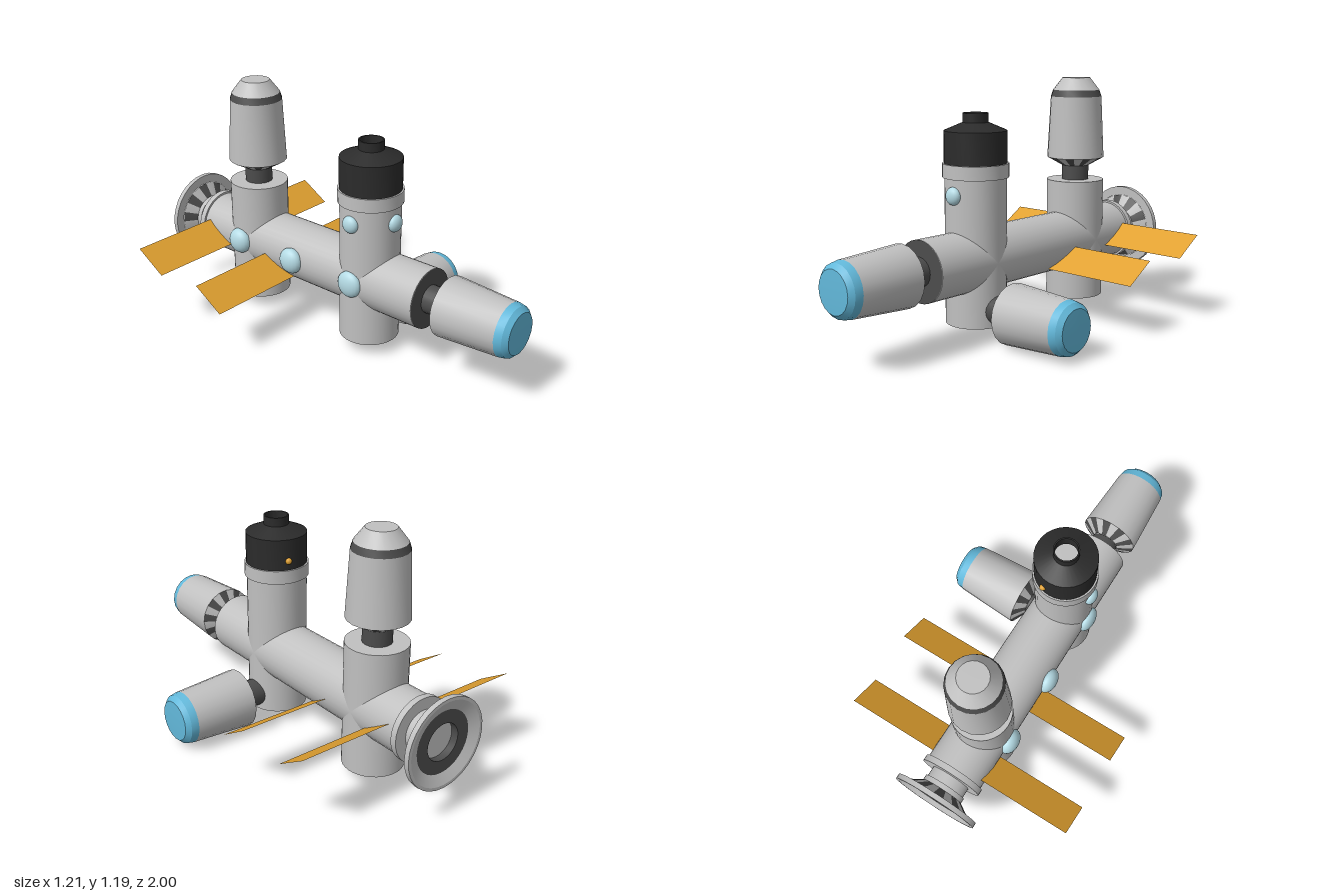
import * as THREE from 'three';
import { toCreasedNormals } from 'three/addons/utils/BufferGeometryUtils.js';

const mat = (name, color, side = THREE.FrontSide) => {
  const m = new THREE.MeshStandardMaterial({ color, side });
  m.name = name;
  return m;
};

export function createModel() {
  const hull = mat('hull grey', 0xc0c0c0);
  const dark = mat('dark grey', 0x4c4c4c);
  const black = mat('black', 0x2b2b2b, THREE.DoubleSide);
  const blue = mat('blue', 0x62b8da);
  const glass = mat('pale glass', 0xb4dae4);
  const gold = mat('panel gold', 0xe0a030, THREE.DoubleSide);

  const model = new THREE.Group();
  model.name = 'spaceStation';
  const X = -0.005, AXIS_Y = 0.37, FRONT_Z = 0.17, BACK_Z = -0.56, R = 0.145;

  const add = (parent, name, geometry, material, x = 0, y = 0, z = 0) => {
    const mesh = new THREE.Mesh(geometry, material);
    mesh.name = name;
    mesh.position.set(x, y, z);
    parent.add(mesh);
    return mesh;
  };
  const group = (name, x, y, z) => {
    const g = new THREE.Group();
    g.name = name;
    g.position.set(x, y, z);
    model.add(g);
    return g;
  };
  // Turned part: [radius, height] pairs, bottom to top
  const lathe = (points, sides = 32) => toCreasedNormals(
    new THREE.LatheGeometry(points.map(([r, y]) => new THREE.Vector2(r, y)), sides), 0.45);
  // Flared ring with alternating light and dark panels
  const checkedCone = (r0, r1, y0, y1, sides = 20) => {
    const g = new THREE.CylinderGeometry(r1, r0, y1 - y0, sides, 1, true);
    g.translate(0, (y0 + y1) / 2, 0);
    g.clearGroups();
    for (let i = 0; i < sides; i++) g.addGroup(i * 6, 6, i % 2);
    return g;
  };

  // Main hull along z
  const main = group('mainHull', X, AXIS_Y, 0);
  main.rotation.x = Math.PI / 2;
  add(main, 'hullTube', lathe([[0, -0.84], [R, -0.84], [R, 0.52], [0, 0.52]]), hull);
  const endCap = add(main, 'frontEndPlate', new THREE.CircleGeometry(R, 32), dark, 0, 0.523, 0);
  endCap.rotation.x = -Math.PI / 2;

  // Docking dish at the back; local y points backward
  const dish = group('rearDish', X, AXIS_Y, 0);
  dish.rotation.x = -Math.PI / 2;
  add(dish, 'dishNeck', lathe([
    [R, 0.83], [0.155, 0.83], [0.155, 0.86], [0.098, 0.86], [0.098, 0.91], [0.106, 0.91], [0.106, 0.935],
  ]), hull);
  add(dish, 'dishFlare', checkedCone(0.106, 0.17, 0.935, 0.975), [hull, dark]);
  add(dish, 'dishRim', lathe([[0.17, 0.975], [0.215, 0.975], [0.215, 1], [0.2, 1]]), hull);
  add(dish, 'dishInside', lathe([[0.2, 1], [0.15, 0.98]]), hull);
  add(dish, 'dishRing', lathe([[0.15, 0.98], [0.088, 0.98], [0.088, 0.945]]), dark);
  add(dish, 'dishHub', lathe([[0.088, 0.945], [0, 0.945]]), hull);

  // Front tower with a hollow black cap
  const frontTower = group('frontTower', X, 0, FRONT_Z);
  add(frontTower, 'towerTube', lathe([
    [0, 0.07], [R, 0.07], [R, 0.76], [0.155, 0.76], [0.155, 0.825], [0, 0.825],
  ]), hull);
  add(frontTower, 'towerCap', lathe([
    [0.147, 0.825], [0.147, 0.975], [0.06, 1.012], [0.06, 1.055], [0.053, 1.055], [0.053, 1.0],
  ]), black);
  add(frontTower, 'capLamp', new THREE.SphereGeometry(0.016, 10, 8), gold, 0.035, 0.87, -0.143);

  // Back tower
  const backTower = group('backTower', X, 0, BACK_Z);
  add(backTower, 'towerTube', lathe([[0, 0.07], [R, 0.07], [R, 0.675], [0, 0.675]]), hull);

  // Capsules: neck, flared base, tapered body; local y points outward
  const capsule = (name, x, y, z, neck) => {
    const g = group(name, x, y, z);
    add(g, 'capsuleNeck', new THREE.CylinderGeometry(0.068, 0.068, neck, 20, 1, true), dark, 0, -neck / 2, 0);
    add(g, 'capsuleBase', checkedCone(0.07, R, 0, 0.042), [hull, dark]);
    return g;
  };

  const tall = capsule('topCapsule', X, 0.748, BACK_Z, 0.08);
  add(tall, 'capsuleBody', lathe([[R, 0.042], [0.129, 0.352]], 20), hull);
  add(tall, 'capsuleBand', lathe([[0.129, 0.352], [0.118, 0.385]], 20), dark);
  add(tall, 'capsuleNose', lathe([[0.118, 0.385], [0.07, 0.447], [0, 0.447]], 20), hull);

  const blueCapsules = [
    capsule('frontCapsule', X, AXIS_Y, 0.582, 0.065),
    capsule('sideCapsule', 0.189, 0.15, FRONT_Z, 0.07),
  ];
  blueCapsules[0].rotation.x = Math.PI / 2;
  blueCapsules[1].rotation.z = -Math.PI / 2;
  for (const g of blueCapsules) {
    add(g, 'capsuleBody', lathe([[R, 0.042], [0.127, 0.356]], 20), hull);
    add(g, 'capsuleNose', lathe([[0.127, 0.356], [0.12, 0.392], [0.098, 0.414], [0, 0.418]], 20), blue);
  }

  // Domed windows: position, radius, and depth along the facing axis
  const dome = (x, y, z, r, depth, facing) => {
    const w = add(model, 'window', new THREE.SphereGeometry(r, 20, 14), glass, x, y, z);
    w.scale[facing] = depth / r;
  };
  dome(X - R, 0.378, BACK_Z - 0.005, 0.065, 0.045, 'x');
  dome(X - R, 0.378, -0.21, 0.065, 0.042, 'x');
  dome(X - R, 0.378, 0.165, 0.065, 0.035, 'x');
  dome(X - R, 0.685, FRONT_Z, 0.042, 0.028, 'x');
  dome(X, 0.685, FRONT_Z + R, 0.042, 0.028, 'z');

  // Thin tilted solar panels, rising toward the back
  for (const [y, z] of [[0.3125, -0.3125], [0.375, -0.7225]]) {
    const panel = add(model, 'solarPanel',
      new THREE.PlaneGeometry(1.195, Math.hypot(0.155, 0.095)), gold, -0.0075, y, z);
    panel.rotation.x = -Math.atan2(0.155, 0.095);
  }
  return model;
}
